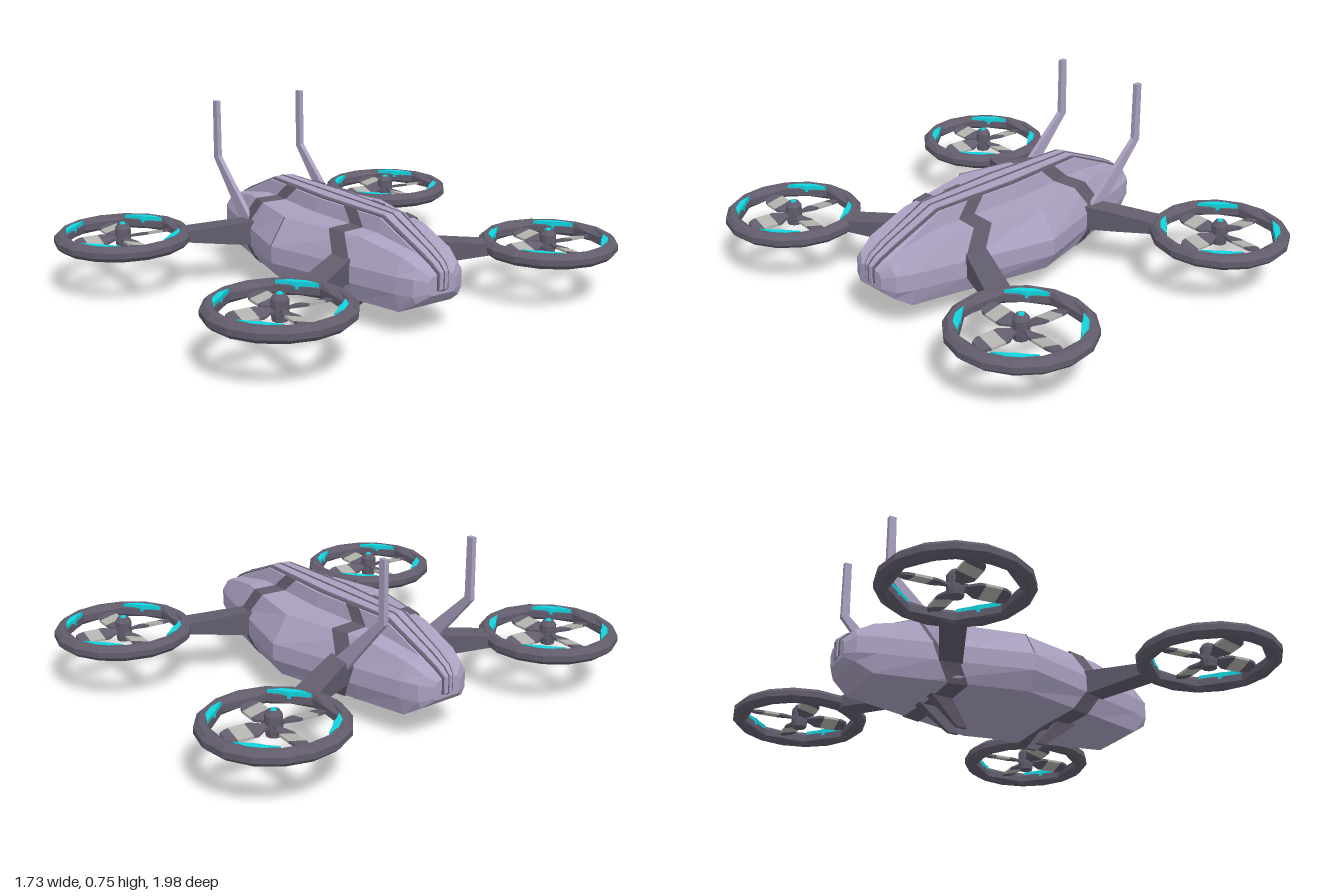
import * as THREE from 'three';

const mat = (color, side = THREE.FrontSide) =>
  new THREE.MeshStandardMaterial({ color, side, flatShading: true, roughness: 0.8 });
const HULL = mat(0xaaa0c0), DARK = mat(0x625c6c), GLOW = mat(0x10d4de), PALE = mat(0xb2b2ae);
const HULL2 = mat(0xaaa0c0, THREE.DoubleSide), DARK2 = mat(0x625c6c, THREE.DoubleSide);
const V = (x, y, z) => new THREE.Vector3(x, y, z);

function add(parent, name, geometry, material) {
  const m = new THREE.Mesh(geometry, material);
  m.name = name;
  parent.add(m);
  return m;
}

function fromTriangles(tris) {
  const g = new THREE.BufferGeometry().setFromPoints(tris);
  g.computeVertexNormals();
  return g;
}

// Solid skinned over equal-length loops; closed joins last loop to first
function loft(loops, closed = false) {
  const t = [], n = loops[0].length, m = loops.length;
  for (let i = 0; i < (closed ? m : m - 1); i++) {
    const a = loops[i], b = loops[(i + 1) % m];
    for (let j = 0; j < n; j++) {
      const k = (j + 1) % n;
      t.push(a[j], a[k], b[k], a[j], b[k], b[j]);
    }
  }
  if (!closed) {
    for (const [loop, flip] of [[loops[0], true], [loops[m - 1], false]]) {
      const c = loop.reduce((s, p) => s.add(p), V(0, 0, 0)).divideScalar(n);
      for (let j = 0; j < n; j++) {
        const p = loop[j], q = loop[(j + 1) % n];
        t.push(c, flip ? q : p, flip ? p : q);
      }
    }
  }
  // Turn the faces outward
  let volume = 0;
  for (let i = 0; i < t.length; i += 3) volume += t[i].dot(t[i + 1].clone().cross(t[i + 2]));
  if (volume < 0) t.reverse();
  return fromTriangles(t);
}

// Thin strip between two edge lines
function strip(a, b) {
  const t = [];
  for (let i = 0; i < a.length - 1; i++) t.push(a[i], a[i + 1], b[i + 1], a[i], b[i + 1], b[i]);
  return fromTriangles(t);
}

// Hull stations: distance from middle, half width, bottom, shoulder, ridge half width, ridge top
const STATIONS = [
  [0, 0.315, 0.105, 0.36, 0.085, 0.418],
  [0.39, 0.208, 0.105, 0.36, 0.062, 0.418],
  [0.6, 0.15, 0.105, 0.32, 0.05, 0.326],
  [0.67, 0.12, 0.15, 0.285, 0.042, 0.29],
  [0.7, 0.065, 0.18, 0.255, 0.03, 0.262],
];
function station(x) {
  const u = Math.min(Math.abs(x), 0.7);
  let i = 0;
  while (i < STATIONS.length - 2 && u > STATIONS[i + 1][0]) i++;
  const a = STATIONS[i], b = STATIONS[i + 1], f = (u - a[0]) / (b[0] - a[0]);
  return a.map((v, k) => v + (b[k] - v) * f);
}
// Half section from bottom to ridge, grown outward by e
function half(x, e = 0) {
  const [, w, yb, yt, s, ys] = station(x);
  return [
    V(x, yb - e, 0), V(x, yb - e, w * 0.86), V(x, Math.max(0.18, yb + 0.01) - e * 0.4, w + e),
    V(x, Math.min(0.25, yt - 0.02) + e * 0.4, w + e), V(x, yt + e, w * 0.78 + e),
    V(x, yt + e, s + 0.012 + e), V(x, ys + e, s), V(x, ys + e, 0),
  ];
}
const flipZ = p => V(p.x, p.y, -p.z);
const XS = [-0.7, -0.67, -0.6, -0.39, 0, 0.39, 0.6, 0.67, 0.7];

function buildHull() {
  const hull = new THREE.Group();
  hull.name = 'hull';
  hull.position.x = -0.01;
  add(hull, 'hullShell', loft(XS.map(x => {
    const h = half(x);
    return [...h, ...h.slice(1, -1).reverse().map(flipZ)];
  })), HULL);

  // Dark and light stripes running over the ridge and down both noses
  const ridge = (k, lift) => loft(XS.map(x => {
    const [u, , yb, , s, ys] = station(x), z = s * k, X = x + Math.sign(x) * (u > 0.5 ? lift : 0);
    return [V(X, yb + 0.02, z), V(X, ys + lift, z), V(X, ys + lift, -z), V(X, yb + 0.02, -z)];
  }));
  add(hull, 'ridgeDarkStripe', ridge(0.86, 0.004), DARK);
  add(hull, 'ridgeCentre', ridge(0.62, 0.008), HULL);
  add(hull, 'ridgeSeam', ridge(0.06, 0.01), DARK);

  // Dark bands wrapping the hull at each pair of arms
  const bandX = [0.27, 0.28, 0.33, 0.355, 0.28, 0.27, 0.21, 0.205];
  for (const sx of [-1, 1]) for (const sz of [-1, 1]) {
    const edge = d => bandX.map((x, i) => {
      const p = half(sx * (x + d), 0.005)[i];
      return sz > 0 ? p : flipZ(p);
    });
    add(hull, 'hullBand', strip(edge(-0.04), edge(0.04)), DARK2);
  }

  // Hatch on the front flank
  const hatchEdge = x => half(x, 0.003).slice(3, 5);
  add(hull, 'hatch', strip(hatchEdge(-0.24), hatchEdge(0)), HULL2);
  const seamEdge = x => half(x, 0.004).slice(3, 5);
  add(hull, 'hatchSeam', strip(seamEdge(-0.002), seamEdge(0.004)), DARK2);
  return hull;
}

function buildRotor() {
  const rotor = new THREE.Group();
  rotor.name = 'rotor';
  rotor.rotation.y = -0.09;
  const polar = (r, a, y) => V(r * Math.cos(a), y, r * Math.sin(a));

  // Guard: sixteen-sided outside, octagonal inside
  const loops = [];
  for (let i = 0; i < 16; i++) {
    const a = i * Math.PI / 8 + Math.PI / 8;
    const inner = i % 2 ? 0.217 : 0.235;
    loops.push([[0.287, 0.012], [0.268, 0.03], [0.246, 0.03], [inner, 0.012],
      [inner, -0.016], [0.246, -0.03], [0.268, -0.03], [0.287, -0.012]]
      .map(([r, y]) => polar(r, a, y)));
  }
  add(rotor, 'guardRing', loft(loops, true), DARK);

  for (let k = 0; k < 4; k++) {
    // Lights on the diagonals of the guard
    const a = Math.PI / 4 + k * Math.PI / 2;
    const lens = [[0.236, -0.37], [0.222, -0.13], [0.216, 0], [0.222, 0.13], [0.236, 0.37], [0.246, 0.13], [0.246, -0.13]];
    add(rotor, 'guardLight', loft([0.002, 0.031].map(y => lens.map(([r, d]) => polar(r, a + d, y)))), GLOW);

    // Blade: dark root, pale middle, dark tip, slightly pitched
    const blade = new THREE.Group();
    blade.name = 'blade';
    blade.rotation.y = k * Math.PI / 2;
    const piece = (name, pts, material) => add(blade, name, loft(pts.map(([r, w]) => {
      const p = w * 0.25;
      return [V(r, p + 0.005, w), V(r, -p + 0.005, -w), V(r, -p - 0.005, -w), V(r, p - 0.005, w)];
    })), material);
    piece('bladeRoot', [[0.015, 0.014], [0.045, 0.016], [0.08, 0.036], [0.1, 0.036]], DARK);
    piece('bladeMiddle', [[0.1, 0.037], [0.165, 0.037]], PALE);
    piece('bladeTip', [[0.165, 0.036], [0.185, 0.033], [0.205, 0.022]], DARK);
    rotor.add(blade);
  }

  // Hub with a small light on top
  const profile = [[0, -0.042], [0.03, -0.042], [0.034, -0.015], [0.034, 0.04], [0.022, 0.058], [0, 0.058]];
  add(rotor, 'hub', new THREE.LatheGeometry(profile.map(p => new THREE.Vector2(...p)), 10), DARK);
  add(rotor, 'hubLight', new THREE.CylinderGeometry(0.01, 0.014, 0.008, 10), GLOW).position.y = 0.06;
  return rotor;
}

export function createModel() {
  const model = new THREE.Group();
  model.name = 'quadRotorDrone';
  model.add(buildHull());

  // Rotors and the tapering arms that carry them
  for (const [x, z] of [[-0.58, -0.713], [0.55, -0.69], [-0.565, 0.7], [0.577, 0.66]]) {
    const rotor = buildRotor();
    rotor.position.set(x, 0.225, z);
    model.add(rotor);
    const root = V(Math.sign(x) * 0.31, 0.225, Math.sign(z) * 0.18), tip = V(x, 0.225, z);
    const dir = tip.clone().sub(root).normalize(), across = V(-dir.z, 0, dir.x);
    const loop = (p, w, h) => [[1, 1], [1, -1], [-1, -1], [-1, 1]].map(([a, b]) =>
      p.clone().addScaledVector(across, a * w).add(V(0, b * h, 0)));
    const at = d => tip.clone().addScaledVector(dir, -d);
    add(model, 'arm', loft([loop(root, 0.045, 0.055), loop(at(0.42), 0.048, 0.04), loop(at(0.25), 0.052, 0.022)]), DARK);
  }

  // Landing legs, four raked blades under the hull
  for (const sx of [-1, 1]) for (const sz of [-1, 1]) {
    const loop = (y, x0, x1, z0, z1) =>
      [[x0, z0], [x1, z0], [x1, z1], [x0, z1]].map(([x, z]) => V(sx * x, y, sz * z));
    add(model, 'landingLeg', loft([loop(0.12, 0.26, 0.355, 0.03, 0.078), loop(0, 0.16, 0.205, 0.028, 0.043)]), DARK);
  }

  // Bent masts on the rear quarter
  for (const z of [-0.225, 0.21]) {
    const path = [[-0.335, 0.24, 0.03], [-0.595, 0.5, 0.017], [-0.595, 0.75, 0.015]];
    add(model, 'mast', loft(path.map(([x, y, w], i) => {
      const tilt = i === 0 ? 0.02 : i === 1 ? 0.005 : 0;
      return [V(x - w, y - tilt, z - 0.01), V(x + w, y + tilt, z - 0.01),
        V(x + w, y + tilt, z + 0.01), V(x - w, y - tilt, z + 0.01)];
    })), HULL);
  }
  return model;
}
